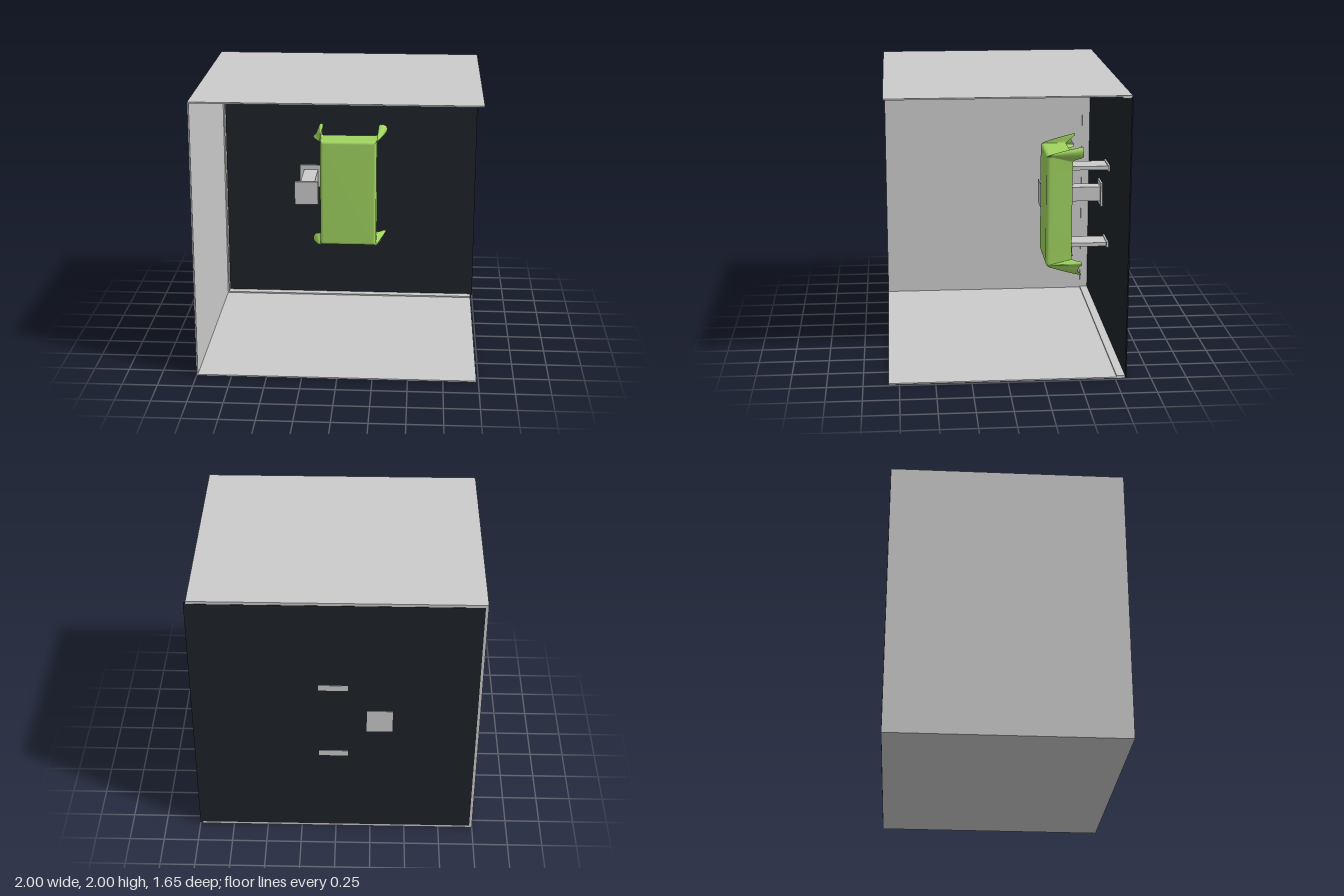
import * as THREE from 'three';

const grey = new THREE.MeshStandardMaterial({ color: 0xcccccc });
const dark = new THREE.MeshStandardMaterial({ color: 0x1e2228 });
const green = new THREE.MeshStandardMaterial({ color: 0xa0d460, side: THREE.DoubleSide });

// Box given by its limits on each axis
function box(name, [x0, x1], [y0, y1], [z0, z1], material = grey) {
  const mesh = new THREE.Mesh(new THREE.BoxGeometry(x1 - x0, y1 - y0, z1 - z0), material);
  mesh.position.set((x0 + x1) / 2, (y0 + y1) / 2, (z0 + z1) / 2);
  mesh.name = name;
  return mesh;
}

// Cloth draped over the board: rings from the face centre to the hem
function drapedCloth() {
  const cx = 0.015, cy = 1.005, hx = 0.215, hy = 0.415;
  const smooth = (pts, n) => new THREE.CatmullRomCurve3(
    pts.map(([x, y]) => new THREE.Vector3(x, y, 0))).getPoints(n);
  // Corner folds at the hem, as offsets from the corner
  const fork = smooth([[0, -0.05], [-0.02, -0.045], [-0.065, -0.042], [-0.07, -0.03], [-0.05, -0.008],
    [-0.035, 0.03], [-0.015, 0.07], [0.004, 0.068], [0.006, 0.03], [0.01, 0], [0.05, 0]], 40);
  const hook = smooth([[-0.05, 0], [0, 0.004], [0.02, 0.01], [0.032, 0.03], [0.012, 0.038], [0.008, 0.062],
    [0.035, 0.072], [0.07, 0.055], [0.07, 0.015], [0.045, -0.012], [0.015, -0.028], [0, -0.05]], 40);

  // Half of the outline, clockwise; the other half is a half turn of it
  const half = [];
  const side = (x0, y0, x1, y1) => {
    for (let i = 1; i < 10; i++) {
      half.push({ x: x0 + (x1 - x0) * i / 10, y: y0 + (y1 - y0) * i / 10, dx: 0, dy: 0 });
    }
  };
  side(-hx, -hy + 0.05, -hx, hy - 0.05);
  fork.forEach(p => half.push({ x: -hx, y: hy, dx: p.x, dy: p.y }));
  side(-hx + 0.05, hy, hx - 0.05, hy);
  hook.forEach(p => half.push({ x: hx, y: hy, dx: p.x, dy: p.y }));
  const ring = [...half, ...half.map(p => ({ x: -p.x, y: -p.y, dx: -p.dx, dy: -p.dy }))];

  // Rows: [inset from the outline, depth, amount of fold]
  const rows = [[1, 0, 0], [0.022, 0, 0], [0.012, 0.003, 0.02], [0.004, 0.01, 0.05], [0, 0.022, 0.11]];
  for (let i = 1; i <= 10; i++) rows.push([0, 0.022 + 0.0168 * i, 0.11 + 0.089 * i]);

  const position = [], index = [], n = ring.length;
  rows.forEach(([inset, depth, t], r) => {
    const kx = Math.max(0, 1 - inset / hx), ky = Math.max(0, 1 - inset / hy);
    ring.forEach((p, j) => {
      const out = Math.max(0, Math.abs(p.x + p.dx) - hx, Math.abs(p.y + p.dy) - hy);
      const drop = 0.07 * t * t * Math.min(1, out / 0.06);
      position.push(cx + p.x * kx + p.dx * t, cy + p.y * ky + p.dy * t, -0.34 - depth - drop);
      if (r < rows.length - 1) {
        const a = r * n + j, b = r * n + (j + 1) % n;
        index.push(a, b, a + n, b, b + n, a + n);
      }
    });
  });
  const geometry = new THREE.BufferGeometry();
  geometry.setAttribute('position', new THREE.Float32BufferAttribute(position, 3));
  geometry.setIndex(index);
  geometry.computeVertexNormals();
  const mesh = new THREE.Mesh(geometry, green);
  mesh.name = 'drapedCloth';
  return mesh;
}

export function createModel() {
  const model = new THREE.Group();
  const depth = [-0.825, 0.825], strip = [-0.825, -0.76];

  // Open booth: floor, ceiling and one side wall
  model.add(
    box('floor', [-1, 0.985], [0, 0.01], depth),
    box('ceiling', [-1, 0.985], [1.99, 2], depth),
    box('sideWall', [-1, -0.99], [0.01, 1.99], depth),
  );

  // Narrow frame around the back panel
  model.add(
    box('bottomFrame', [-0.99, 0.985], [0.01, 0.02], strip),
    box('topFrame', [-0.99, 0.985], [1.98, 1.99], strip),
    box('sideFrame', [-0.99, -0.98], [0.02, 1.98], strip),
    box('backPanel', [-0.98, 0.985], [0.02, 1.98], [-0.827, -0.819], dark),
    box('backPanelEdge', [0.985, 1], [0.01, 1.99], [-0.827, -0.819], dark),
  );

  // Small square mount: two plates joined by a bar
  const mount = new THREE.Group();
  mount.name = 'squareMount';
  mount.add(
    box('mountFrontPlate', [-0.395, -0.215], [0.915, 1.095], [-0.37, -0.345]),
    box('mountBar', [-0.36, -0.25], [0.95, 1.06], [-0.805, -0.37]),
    box('mountBackPlate', [-0.395, -0.215], [0.915, 1.095], [-0.829, -0.805]),
  );
  model.add(mount);

  // Two flat brackets carrying the board under the cloth
  for (const y of [0.71, 1.295]) {
    const bracket = new THREE.Group();
    bracket.name = 'bracket';
    bracket.add(
      box('bracketArm', [-0.07, 0.105], [y - 0.014, y + 0.014], [-0.805, -0.38]),
      box('bracketFoot', [-0.085, 0.12], [y - 0.022, y + 0.022], [-0.829, -0.805]),
    );
    model.add(bracket);
  }
  model.add(box('board', [-0.185, 0.215], [0.605, 1.405], [-0.38, -0.352]));
  model.add(drapedCloth());
  return model;
}
